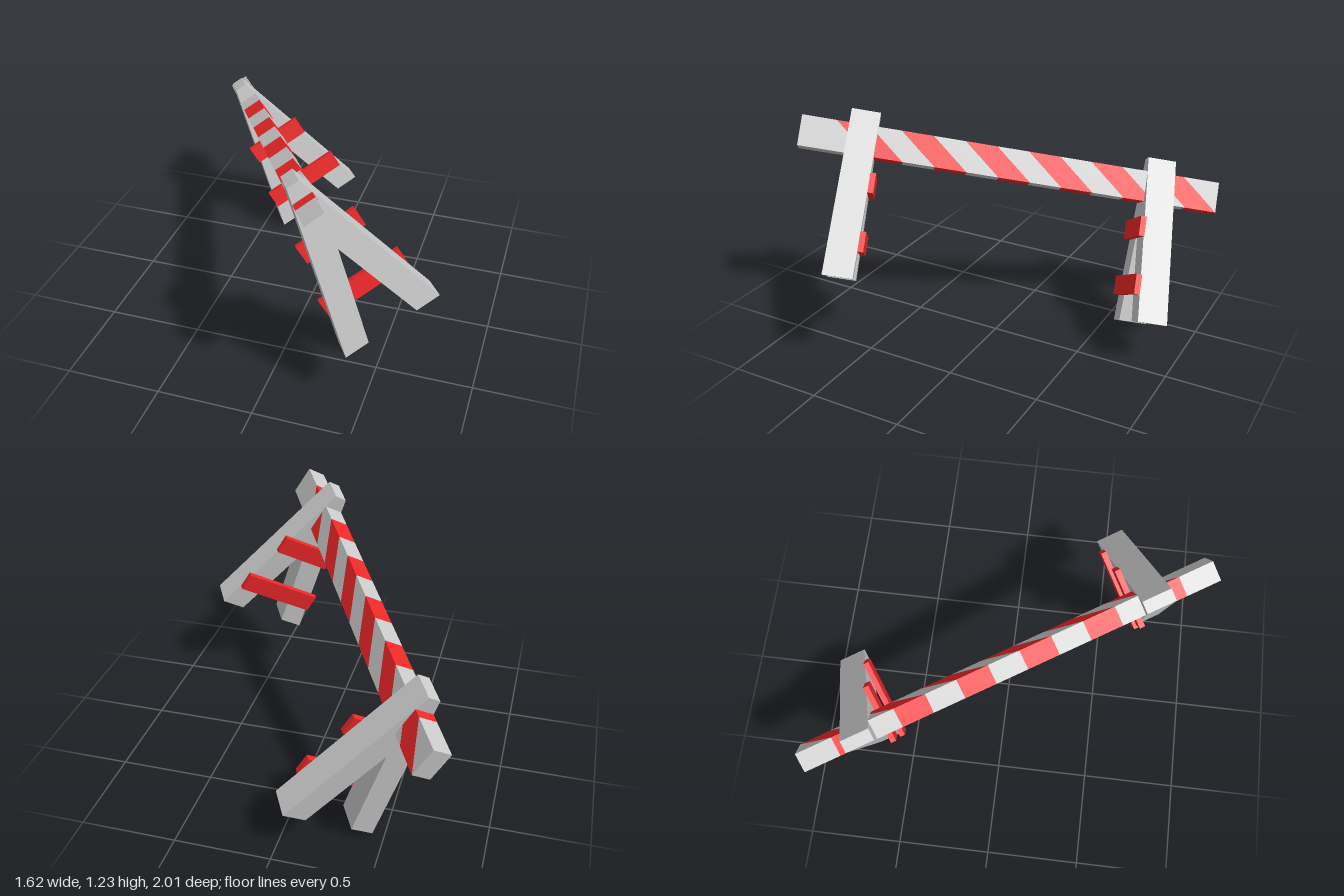
import * as THREE from 'three';

const grey = new THREE.MeshStandardMaterial({ color: 0xcccccc, flatShading: true });
const red = new THREE.MeshStandardMaterial({ color: 0xf02828, flatShading: true });

// Extrude a polygon, centred along its depth
function slab(points, depth) {
  const shape = new THREE.Shape(points.map(([x, y]) => new THREE.Vector2(x, y)));
  const geo = new THREE.ExtrudeGeometry(shape, { depth, bevelEnabled: false });
  return geo.translate(0, 0, -depth / 2);
}

function add(parent, name, geo, material) {
  const mesh = new THREE.Mesh(geo, material);
  mesh.name = name;
  parent.add(mesh);
  return mesh;
}

// Striped beam: slanted slices in alternating colours
function makeBeam() {
  const beam = new THREE.Group();
  beam.name = 'stripedBeam';
  const half = 1.1335, h = 0.0825, width = 0.105, slant = 0.1;
  const period = 0.343, redHalf = period / 4;
  const cuts = [];
  for (let k = -3; k <= 2; k++) {
    const c = 0.08 + k * period;
    cuts.push(c - redHalf, c + redHalf);
  }
  const edges = [
    [-half, -half],
    ...cuts.map((c) => [Math.max(-half, c - slant), Math.min(half, c + slant)]),
    [half, half],
  ];
  for (let i = 0; i < edges.length - 1; i++) {
    const [b0, t0] = edges[i], [b1, t1] = edges[i + 1];
    const geo = slab([[b0, -h], [b1, -h], [t1, h], [t0, h]], width);
    add(beam, i % 2 ? 'redStripe' : 'greyStripe', geo, i % 2 ? red : grey);
  }
  return beam;
}

// Inverted-V trestle with two red cross boards on its inner side
function makeTrestle(side) {
  const trestle = new THREE.Group();
  trestle.name = side > 0 ? 'frontTrestle' : 'backTrestle';
  const top = 0.162, foot = -0.733, thick = 0.154;
  const legs = slab([
    [-0.033, top], [-0.268, foot], [-0.137, foot], [0, -0.225],
    [0.137, foot], [0.268, foot], [0.033, top],
  ], thick).rotateY(Math.PI / 2);
  add(trestle, 'legs', legs, grey);

  const boardThick = 0.03;
  for (const [name, y, length] of [['upperBoard', -0.23, 0.33], ['lowerBoard', -0.54, 0.46]]) {
    const board = add(trestle, name, new THREE.BoxGeometry(boardThick, 0.105, length), red);
    board.position.set(-side * (thick + boardThick) / 2, y, 0);
  }
  trestle.position.x = side * 0.809;
  return trestle;
}

export function createModel() {
  const model = new THREE.Group();
  model.name = 'roadBarrier';

  const barrier = new THREE.Group();
  barrier.name = 'tiltedBarrier';
  barrier.add(makeBeam(), makeTrestle(1), makeTrestle(-1));

  // The whole barrier is tipped and turned
  const along = new THREE.Vector3(0.485, 0.18, 0.856).normalize();
  const across = along.clone().cross(new THREE.Vector3(-0.512, 0.851, 0.111)).normalize();
  const up = across.clone().cross(along);
  barrier.quaternion.setFromRotationMatrix(new THREE.Matrix4().makeBasis(along, up, across));
  barrier.position.set(-0.194, 0.928, 0.008);

  model.add(barrier);
  return model;
}
